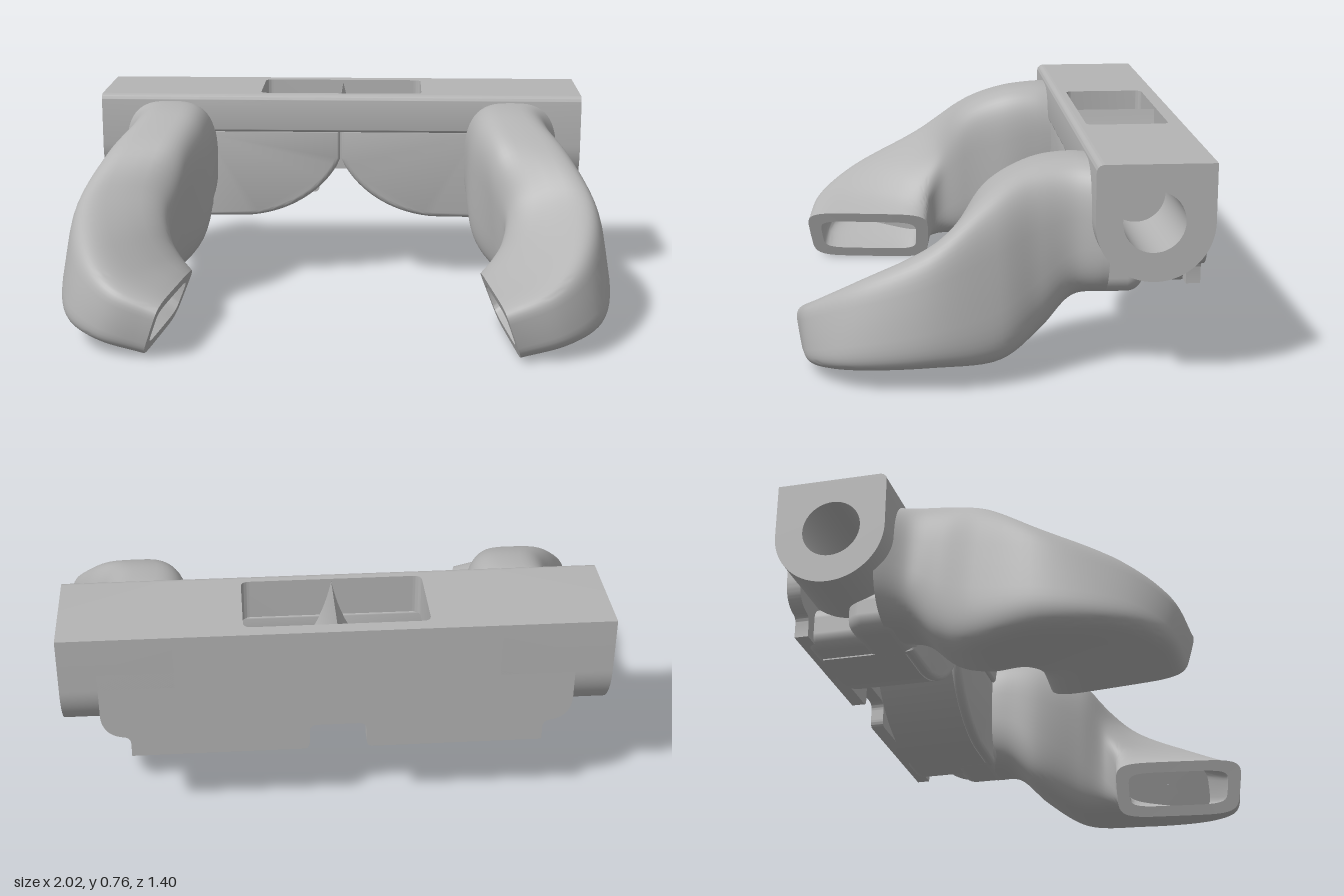
import * as THREE from 'three';
import { toCreasedNormals } from 'three/addons/utils/BufferGeometryUtils.js';
import { RoundedBoxGeometry } from 'three/addons/geometries/RoundedBoxGeometry.js';

const metal = new THREE.MeshStandardMaterial({ color: 0xb4b4b4 });
metal.name = 'cast grey';

// Extrude a shape in z from z0 to z1, with smooth curves and sharp edges
function extrude(shape, z0, z1, bevel = 0) {
  const g = new THREE.ExtrudeGeometry(shape, {
    depth: z1 - z0 - 2 * bevel, curveSegments: 24, bevelEnabled: bevel > 0,
    bevelThickness: bevel, bevelSize: bevel, bevelOffset: -bevel, bevelSegments: 5,
  });
  g.translate(0, 0, z0 + bevel);
  return toCreasedNormals(g, 0.6);
}

// Copy of a geometry reflected in x, with the corner order put right
function mirrored(geo) {
  const g = geo.index ? geo.toNonIndexed() : geo.clone();
  for (const name of ['position', 'normal']) {
    const a = g.attributes[name];
    for (let i = 0; i < a.count; i += 3) {
      const p = [0, 2, 1].map(k => new THREE.Vector3().fromBufferAttribute(a, i + k));
      p.forEach((v, k) => a.setXYZ(i + k, -v.x, v.y, v.z));
    }
  }
  return g;
}

function roundRect(path, x0, y0, x1, y1, r) {
  path.moveTo(x0 + r, y0);
  path.lineTo(x1 - r, y0); path.quadraticCurveTo(x1, y0, x1, y0 + r);
  path.lineTo(x1, y1 - r); path.quadraticCurveTo(x1, y1, x1 - r, y1);
  path.lineTo(x0 + r, y1); path.quadraticCurveTo(x0, y1, x0, y1 - r);
  path.lineTo(x0, y0 + r); path.quadraticCurveTo(x0, y0, x0 + r, y0);
  return path;
}

// Curved runner: rounded four-corner sections swept forward, then inward to an open mouth
function runnerGeometry() {
  // corners per station: upper outer, upper inner, lower inner, lower outer
  const stations = [
    [[0.90, 0.73, -0.36], [0.49, 0.73, -0.36], [0.49, 0.26, -0.36], [0.88, 0.27, -0.36]],
    [[0.83, 0.735, -0.25], [0.495, 0.735, -0.25], [0.495, 0.25, -0.25], [0.84, 0.25, -0.25]],
    [[0.83, 0.715, -0.12], [0.51, 0.715, -0.11], [0.51, 0.15, -0.13], [0.89, 0.15, -0.14]],
    [[0.89, 0.65, 0.03], [0.56, 0.63, 0.05], [0.61, 0.075, 0.02], [0.98, 0.075, 0.0]],
    [[0.96, 0.50, 0.25], [0.62, 0.46, 0.13], [0.65, 0.065, 0.12], [1.03, 0.075, 0.27]],
    [[0.89, 0.37, 0.52], [0.60, 0.33, 0.18], [0.65, 0.045, 0.17], [0.97, 0.06, 0.54]],
    [[0.77, 0.275, 0.66], [0.565, 0.26, 0.19], [0.63, 0.02, 0.185], [0.84, 0.035, 0.65]],
    [[0.60, 0.205, 0.705], [0.53, 0.205, 0.195], [0.61, 0, 0.195], [0.67, 0, 0.67]],
  ];
  const curves = [0, 1, 2, 3].map(c =>
    new THREE.CatmullRomCurve3(stations.map(s => new THREE.Vector3(...s[c]))));
  const N = 56, steps = 49;
  const pw = (v, e) => Math.sign(v) * Math.pow(Math.abs(v), e);
  function ring(t, su, sv) {
    const [uo, ui, li, lo] = curves.map(c => c.getPoint(t));
    const e = 2 / (2.7 + 2.7 * t), pts = [];
    for (let j = 0; j < N; j++) {
      const a = j / N * Math.PI * 2;
      const u = (1 + su * pw(Math.cos(a), e)) / 2, v = (1 + sv * pw(Math.sin(a), e)) / 2;
      pts.push(ui.clone().lerp(uo, u).multiplyScalar(v)
        .add(li.clone().lerp(lo, u).multiplyScalar(1 - v)));
    }
    return pts;
  }
  const rings = [];
  for (let i = 0; i <= steps; i++) rings.push(ring(i / steps, 1, 1));
  // rim, inner passage and its closed end
  for (const t of [1, 0.95, 0.9, 0.85, 0.8, 0.75]) rings.push(ring(t, 0.8, 0.62));
  rings.push(ring(0.75, 0.01, 0.01));

  const pos = [], idx = [];
  rings.forEach(r => r.forEach(p => pos.push(p.x, p.y, p.z)));
  for (let i = 0; i < rings.length - 1; i++) for (let j = 0; j < N; j++) {
    const k = (j + 1) % N, a = i * N + j, b = i * N + k, c = b + N, d = a + N;
    idx.push(a, b, c, a, c, d);
  }
  const g = new THREE.BufferGeometry();
  g.setAttribute('position', new THREE.Float32BufferAttribute(pos, 3));
  g.setIndex(idx);
  return toCreasedNormals(g, 0.7);
}

// Lower outline shared by the port walls and floors
function underside(s) {
  s.lineTo(0.56, 0.26);
  s.lineTo(0.37, 0.262);
  s.bezierCurveTo(0.2, 0.275, 0.06, 0.37, 0, 0.5);
}

// Rounded upper front edge shared by the lip and the bosses (drawn with -z to the right)
function frontEdge(s) {
  s.lineTo(0.33, 0.76);
  s.quadraticCurveTo(0.3, 0.76, 0.3, 0.73);
}

export function createModel() {
  const model = new THREE.Group();
  model.name = 'intakeManifold';
  function add(name, geo) {
    const m = new THREE.Mesh(geo, metal);
    m.name = name;
    model.add(m);
  }
  function pair(name, geo) {
    add('left ' + name, geo);
    add('right ' + name, mirrored(geo));
  }

  // Top slab with the inlet opening
  const slab = new THREE.Shape([[-0.56, 0.33], [0.56, 0.33], [0.56, 0.7], [-0.56, 0.7]]
    .map(p => new THREE.Vector2(...p)));
  slab.holes.push(roundRect(new THREE.Path(), -0.32, 0.35, 0.32, 0.65, 0.03));
  add('topSlab', extrude(slab, 0.61, 0.76).rotateX(-Math.PI / 2));

  // Front lip with rounded edges
  const lip = new THREE.Shape();
  lip.moveTo(0.335, 0.61);
  lip.lineTo(0.335, 0.76);
  frontEdge(lip);
  lip.lineTo(0.3, 0.625);
  lip.quadraticCurveTo(0.3, 0.61, 0.315, 0.61);
  add('frontLip', extrude(lip, -0.56, 0.56).rotateY(Math.PI / 2));

  // Back plate with the centre notch
  const plate = new THREE.Shape();
  plate.moveTo(-0.82, 0.62);
  plate.lineTo(-0.82, 0.46);
  plate.quadraticCurveTo(-0.82, 0.37, -0.74, 0.36);
  plate.quadraticCurveTo(-0.72, 0.355, -0.72, 0.33);
  plate.lineTo(-0.72, 0.28);
  plate.lineTo(-0.12, 0.28);
  plate.quadraticCurveTo(-0.1, 0.28, -0.1, 0.31);
  plate.lineTo(-0.1, 0.35);
  plate.quadraticCurveTo(-0.1, 0.38, -0.07, 0.38);
  plate.lineTo(0.07, 0.38);
  plate.quadraticCurveTo(0.1, 0.38, 0.1, 0.35);
  plate.lineTo(0.1, 0.31);
  plate.quadraticCurveTo(0.1, 0.28, 0.12, 0.28);
  plate.lineTo(0.72, 0.28);
  plate.lineTo(0.72, 0.33);
  plate.quadraticCurveTo(0.72, 0.355, 0.74, 0.36);
  plate.quadraticCurveTo(0.82, 0.37, 0.82, 0.46);
  plate.lineTo(0.82, 0.62);
  add('backPlate', extrude(plate, -0.7, -0.65));

  // End bosses with round bores
  const boss = new THREE.Shape();
  boss.moveTo(0.7, 0.76);
  frontEdge(boss);
  boss.lineTo(0.3, 0.56);
  boss.absarc(0.5, 0.56, 0.2, Math.PI, Math.PI * 2, false);
  boss.holes.push(new THREE.Path().absarc(0.495, 0.565, 0.105, 0, Math.PI * 2, true));
  pair('endBoss', extrude(boss, 0.56, 0.95).rotateY(Math.PI / 2));

  // Port floors: a ridge in the middle falling away to each side
  const port = new THREE.Shape();
  port.moveTo(0, 0.75);
  port.bezierCurveTo(0.04, 0.56, 0.12, 0.4, 0.44, 0.36);
  port.lineTo(0.44, 0.56);
  port.quadraticCurveTo(0.34, 0.57, 0.32, 0.62);
  port.lineTo(0.56, 0.72);
  underside(port);
  pair('portFloor', extrude(port, -0.652, -0.348));

  // Port front walls with a soft lower edge
  const wall = new THREE.Shape();
  wall.moveTo(0, 0.62);
  wall.lineTo(0.56, 0.62);
  underside(wall);
  pair('portWall', extrude(wall, -0.355, -0.312, 0.02));
  add('centreWeb', new THREE.BoxGeometry(0.06, 0.14, 0.025).translate(0, 0.55, -0.335));

  // Underside blends between the ports, bosses and runners
  pair('runnerRoot', new RoundedBoxGeometry(0.28, 0.17, 0.2, 5, 0.06).translate(0.63, 0.343, -0.4));
  pair('plateBlend', new RoundedBoxGeometry(0.2, 0.16, 0.26, 5, 0.05).translate(0.57, 0.345, -0.56));

  // Curved runners
  pair('runner', runnerGeometry());

  return model;
}
